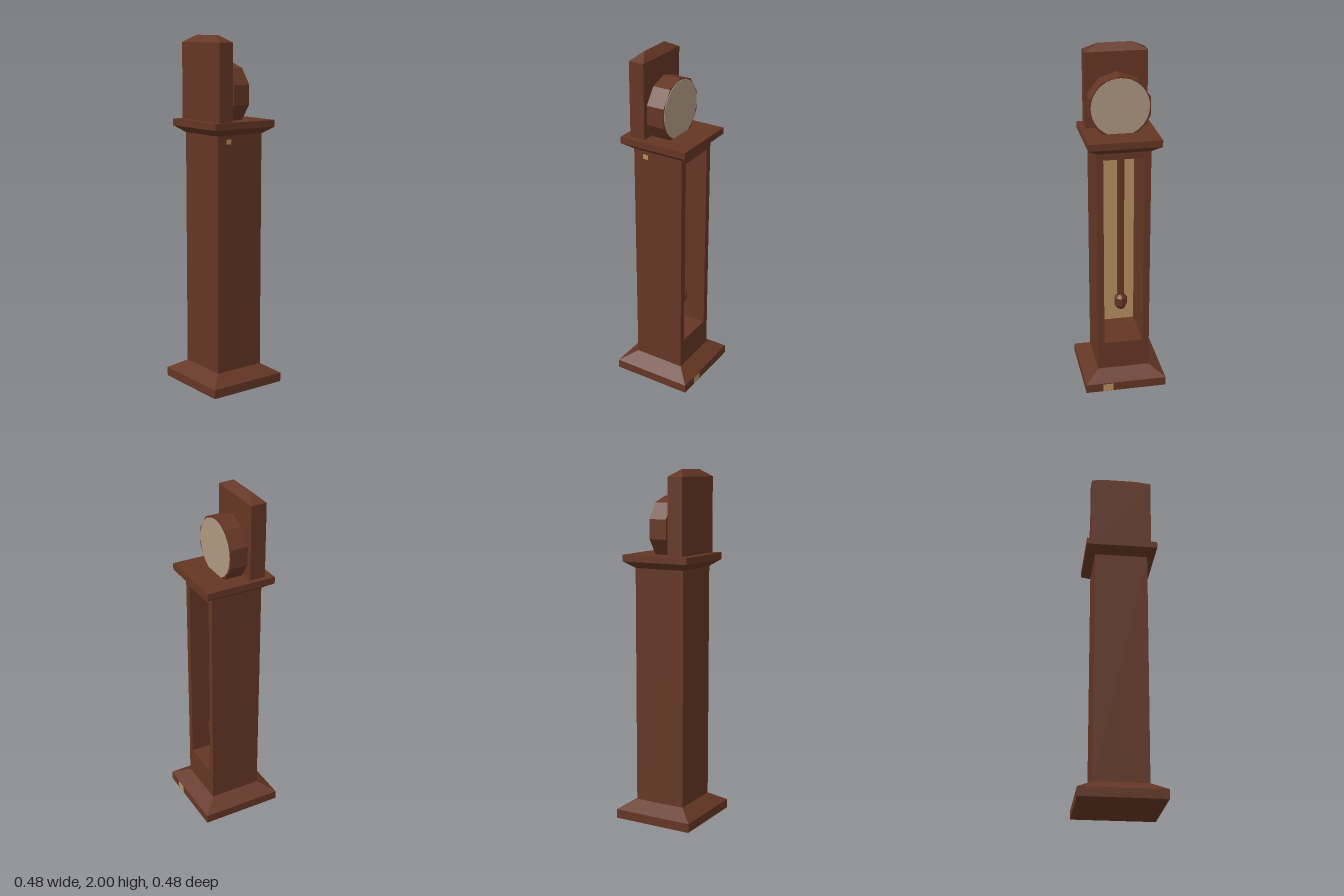
import * as THREE from 'three';

const mat = (name, color) => {
  const m = new THREE.MeshStandardMaterial({ color });
  m.name = name;
  return m;
};

export function createModel() {
  const group = new THREE.Group();
  const wood = mat('brown wood', 0x643624);
  const tan = mat('tan wood', 0xb89060);
  const cream = mat('dial cream', 0xae9882);

  const add = (name, geo, material, x = 0, y = 0, z = 0) => {
    const g = geo.index ? geo.toNonIndexed() : geo;
    g.computeVertexNormals();
    const mesh = new THREE.Mesh(g, material);
    mesh.name = name;
    mesh.position.set(x, y, z);
    group.add(mesh);
    return mesh;
  };
  const box = (name, m, w, h, d, x, y, z) => add(name, new THREE.BoxGeometry(w, h, d), m, x, y, z);
  // square frustum given by its bottom and top half widths
  const frustum = (name, bottom, top, y0, y1) => {
    const geo = new THREE.CylinderGeometry(top * Math.SQRT2, bottom * Math.SQRT2, y1 - y0, 4);
    geo.rotateY(Math.PI / 4);
    add(name, geo, wood, 0, (y0 + y1) / 2, 0);
  };

  // plinth
  box('plinth', wood, 0.476, 0.052, 0.476, 0, 0.026, 0);
  frustum('plinthSlope', 0.238, 0.152, 0.052, 0.105);

  // case: a frame with a tall opening towards +x, closed at the back
  const frame = new THREE.Shape();
  frame.moveTo(-0.152, 0.1).lineTo(0.152, 0.1).lineTo(0.152, 1.47).lineTo(-0.152, 1.47).closePath();
  const hole = new THREE.Path();
  hole.moveTo(-0.114, 0.275).lineTo(-0.114, 1.42).lineTo(0.114, 1.42).lineTo(0.114, 0.275).closePath();
  frame.holes.push(hole);
  const caseGeo = new THREE.ExtrudeGeometry(frame, { depth: 0.28, bevelEnabled: false });
  caseGeo.rotateY(Math.PI / 2);
  add('caseFrame', caseGeo, wood, -0.128);
  box('caseBack', wood, 0.024, 1.37, 0.304, -0.14, 0.785, 0);
  box('innerBackPanel', tan, 0.006, 1.145, 0.228, -0.125, 0.8475, 0);

  // pendulum
  box('pendulumRod', wood, 0.034, 0.87, 0.034, 0.06, 0.985, 0);
  const bob = [[0, 0.455], [0.022, 0.455], [0.037, 0.48], [0.037, 0.526], [0.022, 0.545], [0.015, 0.575], [0, 0.575]];
  add('pendulumBob', new THREE.LatheGeometry(bob.map(p => new THREE.Vector2(...p)), 8), wood, 0.06);

  // crown
  frustum('crownSlope', 0.152, 0.204, 1.457, 1.495);
  box('crown', wood, 0.408, 0.038, 0.408, 0, 1.514, 0);

  // head board with a hipped top
  box('headBoard', wood, 0.09, 0.43, 0.352, -0.113, 1.745, 0);
  const roof = new THREE.BoxGeometry(0.09, 0.04, 0.352);
  const p = roof.attributes.position;
  for (let i = 0; i < p.count; i++) {
    if (p.getY(i) > 0) p.setXYZ(i, Math.sign(p.getX(i)) * 0.001, 0.02, Math.sign(p.getZ(i)) * 0.097);
  }
  add('headBoardTop', roof, wood, -0.113, 1.98, 0);

  // ten-sided clock drum and its dial, facing +x
  const drum = new THREE.CylinderGeometry(0.177, 0.177, 0.104, 10);
  drum.rotateZ(-Math.PI / 2);
  drum.rotateX(Math.PI / 10 * (1));
  add('clockDrum', drum, wood, -0.002, 1.677, 0);
  const dial = new THREE.CylinderGeometry(0.163, 0.163, 0.004, 40);
  dial.rotateZ(-Math.PI / 2);
  add('clockDial', dial, cream, 0.051, 1.68, 0);

  // small tan inlays
  box('plinthInlay', tan, 0.004, 0.044, 0.06, 0.238, 0.024, 0.108);
  box('caseInlay', tan, 0.032, 0.026, 0.004, -0.078, 1.423, 0.152);

  return group;
}
